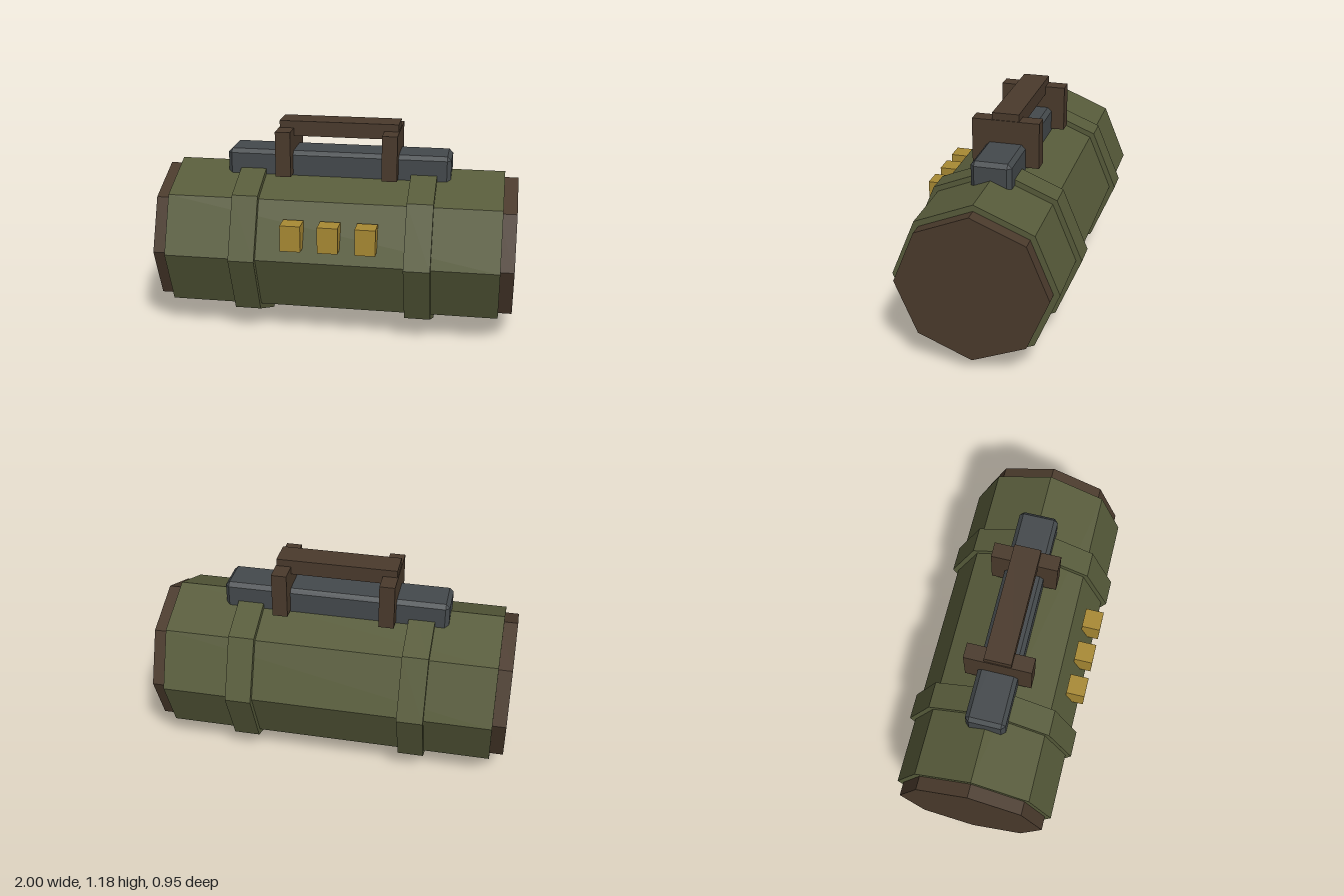
import * as THREE from 'three';
import { ConvexGeometry } from 'three/addons/geometries/ConvexGeometry.js';

const AXIS_Y = 0.478;

function makeMaterial(name, color) {
  const material = new THREE.MeshStandardMaterial({ color, flatShading: true });
  material.name = name;
  return material;
}

// Box with every edge chamfered by c
function chamferedBox(w, h, d, c) {
  const points = [];
  for (const sx of [-1, 1]) for (const sy of [-1, 1]) for (const sz of [-1, 1]) {
    const x = w / 2, y = h / 2, z = d / 2;
    points.push(
      new THREE.Vector3(sx * x, sy * (y - c), sz * (z - c)),
      new THREE.Vector3(sx * (x - c), sy * y, sz * (z - c)),
      new THREE.Vector3(sx * (x - c), sy * (y - c), sz * z)
    );
  }
  return new ConvexGeometry(points);
}

export function createModel() {
  const group = new THREE.Group();
  group.name = 'barrelCase';

  const green = makeMaterial('olive green', 0x575b3a);
  const brown = makeMaterial('dark brown', 0x4a3a2c);
  const grey = makeMaterial('slate grey', 0x44494c);
  const brass = makeMaterial('brass', 0xa88933);

  function add(name, geometry, material, x, y, z) {
    const mesh = new THREE.Mesh(geometry, material);
    mesh.name = name;
    mesh.position.set(x, y, z);
    group.add(mesh);
  }

  // Eight-sided drum lying along x, with a corner at the top
  function addDrum(name, radius, length, material, x) {
    const geometry = new THREE.CylinderGeometry(radius, radius, length, 8);
    geometry.rotateZ(Math.PI / 2);
    add(name, geometry, material, x, AXIS_Y, 0);
  }
  const addBox = (name, w, h, d, material, x, y, z) =>
    add(name, new THREE.BoxGeometry(w, h, d), material, x, y, z);

  addDrum('body', 0.443, 1.85, green, 0);

  // Mirrored end caps, raised bands and handle posts
  for (const side of [-1, 1]) {
    const label = side > 0 ? 'left' : 'right';
    addDrum(label + 'EndCap', 0.409, 0.1, brown, side * 0.95);
    addDrum(label + 'Band', 0.475, 0.145, green, side * 0.482);
    addBox(label + 'HandlePost', 0.085, 0.255, 0.37, brown, side * 0.297, 1.0125, 0);
  }

  // Top rail and carrying grip
  add('topRail', chamferedBox(1.26, 0.19, 0.22, 0.022), grey, 0, 0.919, 0);
  addBox('handleGrip', 0.67, 0.085, 0.148, brown, 0, 1.1375, 0);

  // Row of front latches
  for (const x of [-0.204, 0, 0.204]) {
    addBox('latch', 0.112, 0.146, 0.104, brass, x, 0.626, 0.422);
  }

  return group;
}
